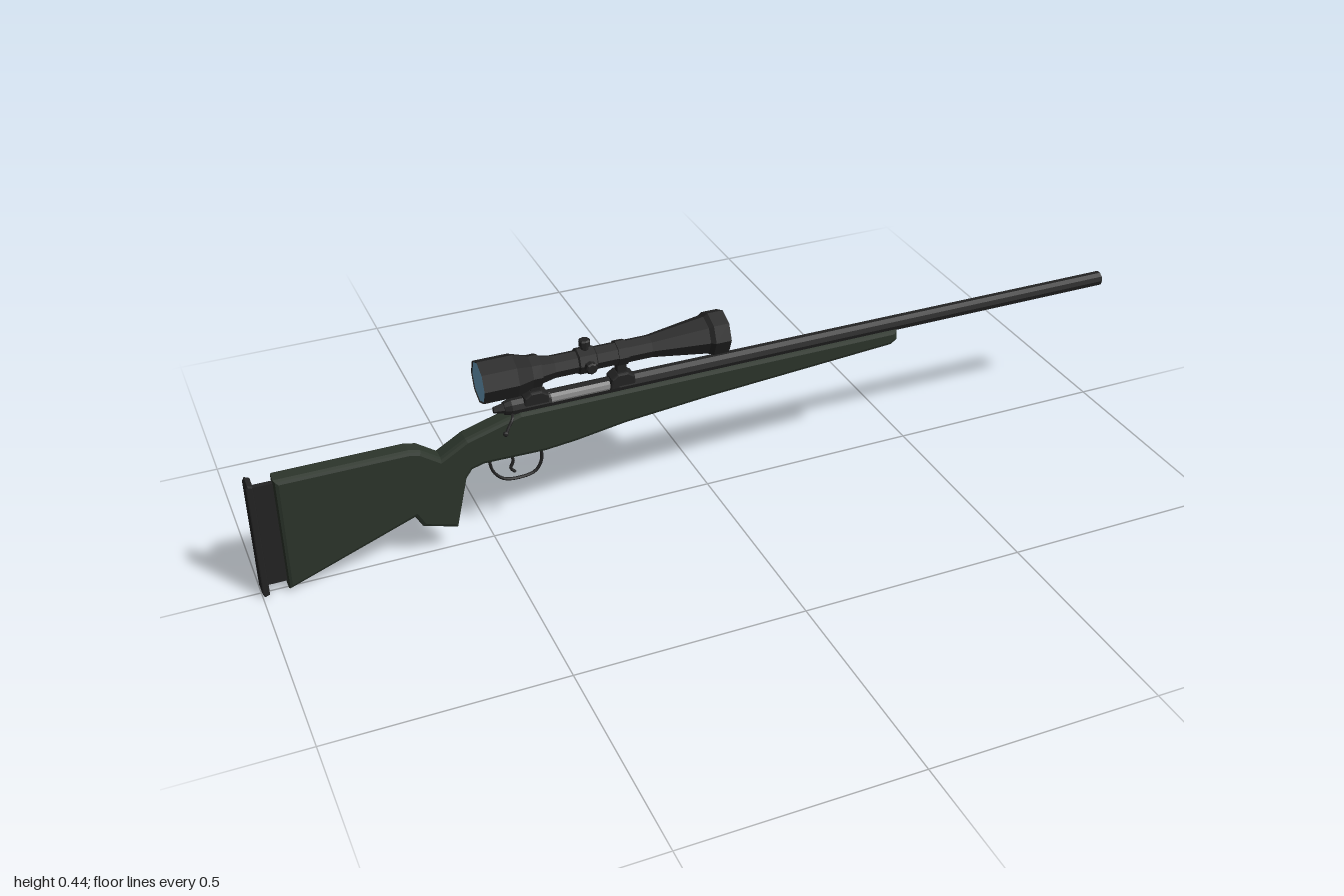
import * as THREE from 'three';

const mat = (color, extra = {}) => new THREE.MeshStandardMaterial({ color, flatShading: true, ...extra });

export function createModel() {
  const group = new THREE.Group();
  const green = mat(0x2c352b);
  const black = mat(0x232323, { side: THREE.DoubleSide });
  const steel = mat(0x808080);
  const glass = mat(0x6fa6c6, { side: THREE.DoubleSide });

  const add = (name, geometry, material, x = 0, y = 0, z = 0) => {
    const mesh = new THREE.Mesh(geometry, material);
    mesh.name = name;
    mesh.position.set(x, y, z);
    group.add(mesh);
    return mesh;
  };
  // Turned part along x from [x, radius] pairs
  const turned = (profile, sides = 8) =>
    new THREE.LatheGeometry(profile.map(([x, r]) => new THREE.Vector2(r, x)), sides).rotateZ(-Math.PI / 2);
  // Side outline extruded across z with chamfered edges
  const slab = (points, width, bevel) => {
    const shape = new THREE.Shape(points.map(p => new THREE.Vector2(...p)));
    return new THREE.ExtrudeGeometry(shape, {
      depth: width - 2 * bevel, bevelEnabled: true, bevelThickness: bevel,
      bevelSize: bevel, bevelOffset: -bevel, bevelSegments: 2,
    }).translate(0, 0, bevel - width / 2);
  };
  const tube = (points, radius, closed = false) => new THREE.TubeGeometry(
    new THREE.CatmullRomCurve3(points.map(p => new THREE.Vector3(...p)), closed), 24, radius, 6, closed);

  // Stock with pistol grip and tapering fore-end
  add('stock', slab([
    [-0.945, 0.005], [-0.67, 0.108], [-0.655, 0.08], [-0.58, 0.058], [-0.553, 0.175], [-0.54, 0.193],
    [-0.515, 0.2], [-0.38, 0.198], [-0.31, 0.205], [-0.2, 0.222], [0, 0.24], [0.44, 0.269], [0.457, 0.28],
    [0.455, 0.305], [-0.2, 0.305], [-0.43, 0.305], [-0.475, 0.292], [-0.55, 0.27], [-0.605, 0.238],
    [-0.645, 0.266], [-0.67, 0.272], [-0.945, 0.272],
  ], 0.044, 0.009), green);

  // Adjustable butt
  add('buttSpacer', new THREE.BoxGeometry(0.055, 0.24, 0.012), black, -0.96, 0.14, 0);
  add('buttPad', slab([[-1, 0.01], [-0.996, 0], [-0.985, 0.004], [-0.985, 0.27], [-0.996, 0.275], [-1, 0.267]],
    0.04, 0.003), black);

  // Barrel with recessed muzzle
  const axisY = 0.313;
  add('barrel', turned([[-0.21, 0], [-0.21, 0.019], [0.1, 0.018], [1, 0.017], [1, 0.008], [0.96, 0.008], [0.96, 0]], 10),
    black, 0, axisY);

  // Receiver: closed rear, ejection port on the +z side, and bolt
  add('receiverRear', turned([[-0.46, 0], [-0.46, 0.014], [-0.445, 0.019], [-0.36, 0.019], [-0.36, 0]], 10),
    black, 0, axisY);
  add('receiverShell', new THREE.CylinderGeometry(0.019, 0.019, 0.16, 9, 1, true, 0, Math.PI * 5 / 3)
    .rotateZ(-Math.PI / 2), black, -0.285, axisY);
  add('bolt', turned([[-0.37, 0], [-0.37, 0.014], [-0.2, 0.014], [-0.2, 0]], 10), steel, 0, axisY);
  add('boltShroud', turned([[-0.482, 0], [-0.482, 0.007], [-0.46, 0.011], [-0.44, 0.011]]), black, 0, axisY);
  add('boltHandle', tube([[-0.445, 0.304, 0.01], [-0.45, 0.299, 0.026], [-0.46, 0.286, 0.032], [-0.468, 0.274, 0.036]],
    0.0035), black);
  add('boltKnob', new THREE.SphereGeometry(0.006, 8, 6), black, -0.469, 0.273, 0.036);

  // Trigger and guard
  add('triggerGuard', tube([
    [-0.5, 0.202, 0], [-0.492, 0.165, 0], [-0.47, 0.141, 0], [-0.437, 0.135, 0],
    [-0.4, 0.142, 0], [-0.385, 0.165, 0], [-0.384, 0.202, 0],
  ], 0.0035), black);
  add('trigger', tube([[-0.452, 0.202, 0], [-0.447, 0.18, 0], [-0.453, 0.163, 0], [-0.444, 0.152, 0]], 0.0035), black);

  // Scope
  const scopeY = 0.387;
  add('scopeBody', turned([
    [-0.5, 0], [-0.5, 0.043], [-0.51, 0.047], [-0.435, 0.047], [-0.395, 0.034], [-0.35, 0.025], [-0.135, 0.025],
    [-0.01, 0.043], [0.0, 0.049], [0.035, 0.049], [0.03, 0.046], [0.028, 0],
  ]), black, 0, scopeY);
  for (const [name, x, r] of [['objectiveLens', 0.034, 0.048], ['eyepieceLens', -0.508, 0.044]]) {
    add(name, new THREE.CircleGeometry(r, 8).rotateY(Math.PI / 2), glass, x, scopeY);
  }
  add('turretCollar', turned([[-0.3, 0.024], [-0.296, 0.029], [-0.26, 0.029], [-0.256, 0.024]]), black, 0, scopeY);
  const knob = () => new THREE.LatheGeometry(
    [[0.009, 0.02], [0.009, 0.033], [0.013, 0.035], [0.013, 0.046], [0.01, 0.049], [0, 0.049]]
      .map(p => new THREE.Vector2(...p)), 8);
  add('elevationTurret', knob(), black, -0.278, scopeY);
  add('windageTurret', knob().rotateX(Math.PI / 2), black, -0.278, scopeY, -0.004);

  // Scope mounts: base, post and clamping ring
  for (const x of [-0.392, -0.2]) {
    const r = x < -0.3 ? 0.036 : 0.028;
    add('mountBase', slab([[-0.03, 0], [0.03, 0], [0.026, 0.026], [0.012, 0.036], [-0.012, 0.036], [-0.026, 0.026]],
      0.036, 0.004), black, x, 0.308);
    add('mountPost', new THREE.BoxGeometry(0.02, 0.04, 0.018), black, x, 0.348);
    add('mountRing', turned([[-0.011, r - 0.004], [-0.011, r], [0.011, r], [0.011, r - 0.004]]), black, x, scopeY);
  }
  return group;
}
